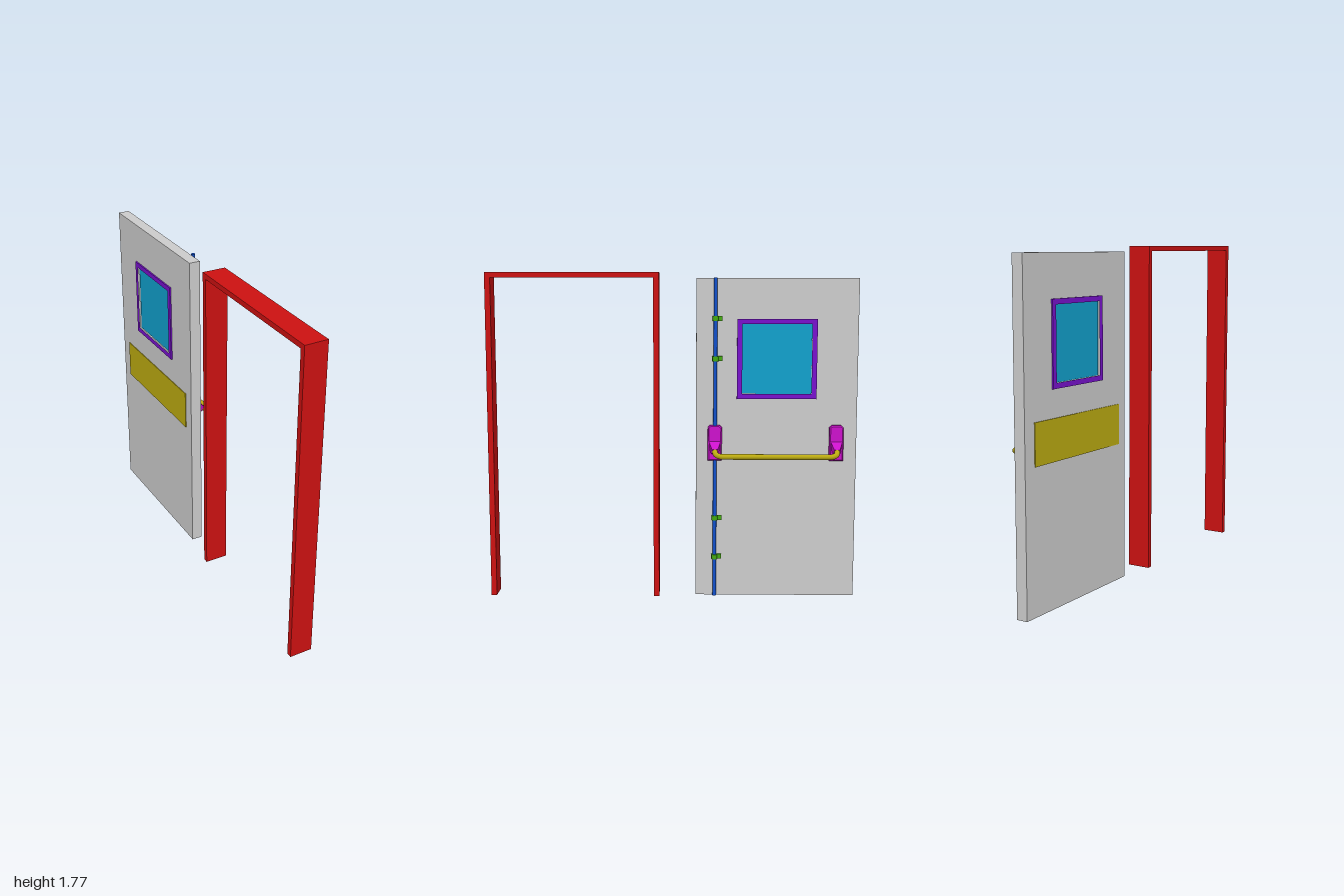
import * as THREE from 'three';

const mat = (color) => new THREE.MeshStandardMaterial({ color });
const GREY = mat(0xcccccc), RED = mat(0xcc1111), BLUE = mat(0x1150cc), GREEN = mat(0x44aa11);
const PURPLE = mat(0x7711cc), GLASS = mat(0x11a0cc), MAGENTA = mat(0xcc11cc), YELLOW = mat(0xbbaa11);

function add(parent, name, geometry, material) {
  const mesh = new THREE.Mesh(geometry, material);
  mesh.name = name;
  parent.add(mesh);
  return mesh;
}

// Box given by its limits on each axis
function box(x0, x1, y0, y1, z0, z1) {
  return new THREE.BoxGeometry(x1 - x0, y1 - y0, z1 - z0)
    .translate((x0 + x1) / 2, (y0 + y1) / 2, (z0 + z1) / 2);
}

// Outline drawn in [z, y], extruded along x from x0 to x1
function slab(outline, x0, x1, hole, bevel = 0) {
  const points = (list) => list.map(([z, y]) => new THREE.Vector2(-z, y));
  const shape = new THREE.Shape(points(outline));
  if (hole) shape.holes.push(new THREE.Path(points(hole)));
  return new THREE.ExtrudeGeometry(shape, {
    depth: x1 - x0 - bevel, bevelEnabled: bevel > 0, bevelSize: bevel, bevelOffset: -bevel,
    bevelThickness: bevel, bevelSegments: 1,
  }).rotateY(Math.PI / 2).translate(x0, 0, 0);
}

const rect = (z0, z1, y0, y1) => [[z0, y0], [z1, y0], [z1, y1], [z0, y1]];

export function createModel() {
  const model = new THREE.Group();
  model.name = 'doorAndFrame';

  // Door frame: two jambs and a head in one portal
  add(model, 'doorFrame', slab([[1, 0], [1, 1.77], [0.07, 1.77], [0.07, 0],
    [0.1, 0], [0.1, 1.742], [0.97, 1.742], [0.97, 0]], -0.105, 0.02), RED);

  const door = new THREE.Group();
  door.name = 'door';
  model.add(door);

  // Door leaf with its window
  const opening = rect(-0.752, -0.378, 1.12, 1.495);
  add(door, 'doorLeaf', slab(rect(-1, -0.13, 0, 1.74), -0.075, -0.015, opening), GREY);
  add(door, 'windowFrame', slab(rect(-0.78, -0.35, 1.092, 1.522), -0.083, -0.006, opening), PURPLE);
  add(door, 'windowGlass', box(-0.072, -0.017, 1.12, 1.495, -0.752, -0.378), GLASS);

  // Push plate on the back
  add(door, 'backPlate', box(-0.079, -0.075, 0.737, 0.95, -0.925, -0.192), YELLOW);

  // Vertical latch rod and its clips
  const rodZ = -0.233;
  add(door, 'latchRod', new THREE.CylinderGeometry(0.01, 0.01, 1.742, 16)
    .translate(0, 0.871, rodZ), BLUE);
  for (const y of [0.22, 0.438, 1.31, 1.525]) {
    const clip = new THREE.Group();
    clip.name = 'rodClip';
    clip.position.set(0, y, rodZ);
    door.add(clip);
    add(clip, 'clipSaddle', new THREE.CylinderGeometry(0.016, 0.016, 0.026, 16), GREEN);
    add(clip, 'clipTab', box(-0.015, -0.005, -0.013, 0.013, -0.038, 0.017), GREEN);
  }

  // Bracket at each end of the push bar
  const endZ = [-0.232, -0.89];
  for (const z of endZ) {
    const bracket = new THREE.Group();
    bracket.name = 'barBracket';
    bracket.position.z = z;
    door.add(bracket);
    add(bracket, 'bracketPlate', slab([[-0.038, 0.757], [0.038, 0.757], [0.038, 0.938],
      [0.025, 0.95], [-0.025, 0.95], [-0.038, 0.938]], -0.015, 0.013, null, 0.006), MAGENTA);
    // Tapered socket tilted down along the bar arm
    const socket = add(bracket, 'bracketSocket', new THREE.CylinderGeometry(0.022, 0.045, 0.05, 4, 1)
      .toNonIndexed().rotateY(Math.PI / 4), MAGENTA);
    socket.geometry.computeVertexNormals();
    socket.rotation.z = -Math.PI / 2 - 0.5;
    socket.position.set(0.022, 0.823, 0);
  }

  // Push bar: two sloping arms joined to the long grip by rounded bends
  const [a, b] = endZ;
  const v = (x, y, z) => new THREE.Vector3(x, y, z);
  const path = new THREE.CurvePath();
  path.add(new THREE.LineCurve3(v(0.03, 0.819, a), v(0.045, 0.811, a)));
  path.add(new THREE.QuadraticBezierCurve3(v(0.045, 0.811, a), v(0.085, 0.79, a), v(0.085, 0.79, a - 0.05)));
  path.add(new THREE.LineCurve3(v(0.085, 0.79, a - 0.05), v(0.085, 0.79, b + 0.05)));
  path.add(new THREE.QuadraticBezierCurve3(v(0.085, 0.79, b + 0.05), v(0.085, 0.79, b), v(0.045, 0.811, b)));
  path.add(new THREE.LineCurve3(v(0.045, 0.811, b), v(0.03, 0.819, b)));
  add(door, 'pushBar', new THREE.TubeGeometry(path, 120, 0.015, 14), YELLOW);

  return model;
}
